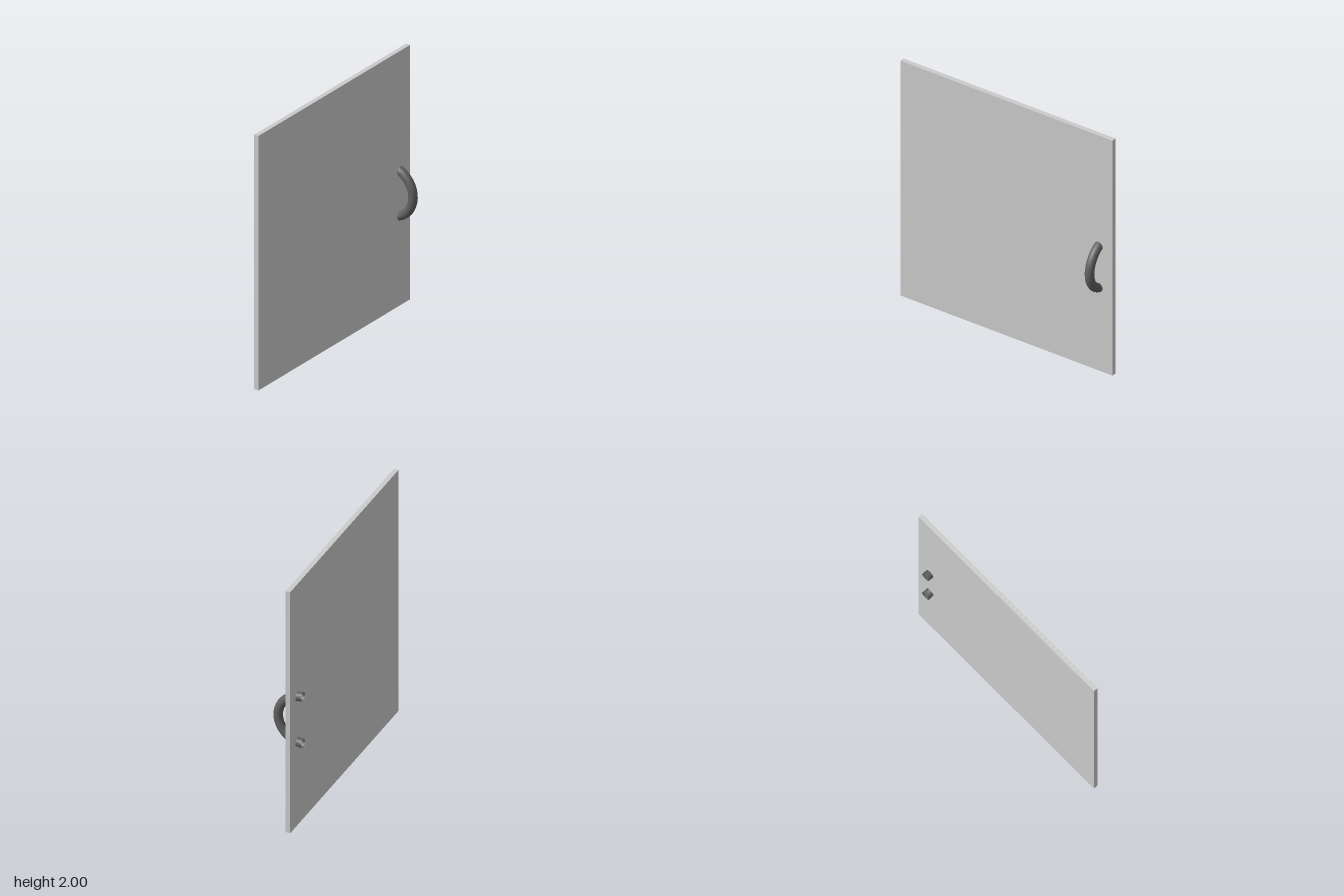
import * as THREE from 'three';

export function createModel() {
  const group = new THREE.Group();

  // Thin flat door panel
  const panel = new THREE.Mesh(
    new THREE.BoxGeometry(0.036, 2, 1.8),
    new THREE.MeshStandardMaterial({ color: 0xcccccc })
  );
  panel.name = 'doorPanel';
  panel.position.set(-0.052, 1, 0);
  group.add(panel);

  // Half-ring pull handle, its open ends passing through the panel
  const handle = new THREE.Mesh(
    new THREE.TorusGeometry(0.193, 0.034, 24, 48, Math.PI),
    new THREE.MeshStandardMaterial({ color: 0x606060, side: THREE.DoubleSide })
  );
  handle.name = 'handle';
  handle.rotation.z = -Math.PI / 2;
  handle.position.set(-0.114, 0.882, -0.78);
  group.add(handle);

  return group;
}
